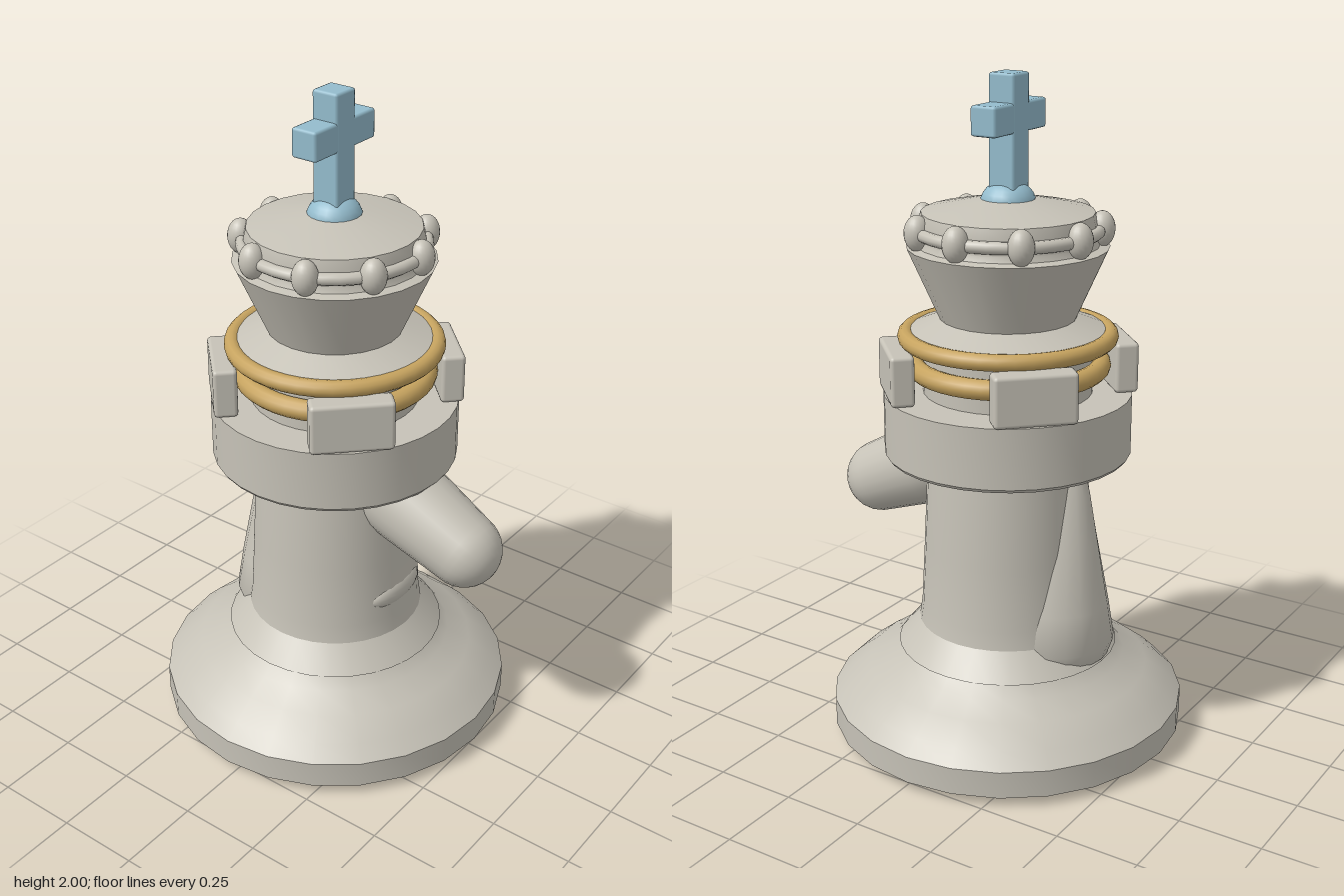
import * as THREE from 'three';
import { toCreasedNormals } from 'three/addons/utils/BufferGeometryUtils.js';
import { RoundedBoxGeometry } from 'three/addons/geometries/RoundedBoxGeometry.js';

const mat = (name, color) => {
  const m = new THREE.MeshStandardMaterial({ color });
  m.name = name;
  return m;
};

export function createModel() {
  const stone = mat('stone', 0xc6c2b7);
  const gold = mat('gold', 0xc6a35f);
  const blue = mat('blue', 0x94bccd);

  const model = new THREE.Group();
  model.name = 'chessKing';
  // Everything sits on one vertical axis, slightly behind the origin
  const piece = new THREE.Group();
  piece.name = 'piece';
  piece.position.z = -0.02;
  model.add(piece);

  const add = (name, geo, material, x = 0, y = 0, z = 0) => {
    const m = new THREE.Mesh(geo, material);
    m.name = name;
    m.position.set(x, y, z);
    piece.add(m);
    return m;
  };
  const lathe = (pts, sides = 24, crease = 0.5) => toCreasedNormals(
    new THREE.LatheGeometry(pts.map(p => new THREE.Vector2(...p)), sides), crease);
  const blob = (name, material, [x, y, z], [rx, ry, rz]) => {
    const m = add(name, new THREE.SphereGeometry(1, 20, 14), material, x, y, z);
    m.scale.set(rx, ry, rz);
    return m;
  };

  // Foot and collar
  add('base', lathe([[0, 0.03], [0.54, 0.03], [0.54, 0.112], [0.495, 0.155],
    [0.43, 0.205], [0.36, 0.243], [0.328, 0.278], [0, 0.278]]), stone);
  add('column', lathe([[0, 0.278], [0.335, 0.278], [0.27, 0.355], [0.262, 0.41],
    [0.252, 0.6], [0.243, 0.8], [0.238, 0.87]], 32), stone);
  blob('undersideBump', stone, [0, 0.03, -0.11], [0.11, 0.03, 0.11]);
  blob('frontBump', stone, [0, 0.475, 0.22], [0.12, 0.05, 0.046]);

  // Turret platform with a neck rising from it
  add('turret', lathe([[0.235, 0.855], [0.26, 0.858], [0.36, 0.89], [0.367, 0.9],
    [0.367, 1.08], [0.25, 1.08], [0.25, 1.24]], 32), stone);

  // Four blocks on the diagonals of the platform
  for (let i = 0; i < 4; i++) {
    const a = Math.PI / 4 + i * Math.PI / 2;
    const block = add('turretBlock', new RoundedBoxGeometry(0.24, 0.15, 0.07, 2, 0.012),
      stone, Math.sin(a) * 0.33, 1.155, Math.cos(a) * 0.33);
    block.rotation.y = a;
  }

  // Gold rings
  for (const [y, r, tube] of [[1.16, 0.272, 0.03], [1.248, 0.298, 0.025]]) {
    const ring = add('goldRing', new THREE.TorusGeometry(r, tube, 12, 40), gold, 0, y, 0);
    ring.rotation.x = Math.PI / 2;
  }

  // Flared crown with shoulder, recessed band and shallow lid
  add('crown', lathe([[0.25, 1.24], [0.3, 1.262], [0.2, 1.302], [0.293, 1.512],
    [0.265, 1.518], [0.258, 1.535], [0.258, 1.58], [0.25, 1.61],
    [0.08, 1.647], [0, 1.65]], 24, 0.45), stone);
  const band = add('crownBand', new THREE.TorusGeometry(0.262, 0.018, 10, 36), stone, 0, 1.56, 0);
  band.rotation.x = Math.PI / 2;
  for (let i = 0; i < 9; i++) {
    const a = i * Math.PI * 2 / 9;
    blob('crownBead', stone, [Math.cos(a) * 0.268, 1.562, -Math.sin(a) * 0.268],
      [0.038, 0.052, 0.038]);
  }

  // Finial cross
  blob('crossBall', blue, [0, 1.635, 0], [0.08, 0.065, 0.08]);
  add('crossPost', new RoundedBoxGeometry(0.085, 0.34, 0.085, 1, 0.008), blue, 0, 1.83, -0.002);
  add('crossBar', new RoundedBoxGeometry(0.27, 0.085, 0.083, 1, 0.008), blue, 0, 1.877, -0.002);

  // Tapered nose, round at the tip, sloping down to the front
  const nosePts = [[0.135, -0.32], [0.13, -0.2]];
  for (let i = 0; i <= 8; i++) {
    const t = i / 8 * Math.PI / 2;
    nosePts.push([0.112 * Math.cos(t), 0.112 * Math.sin(t)]);
  }
  const nose = add('nose', lathe(nosePts, 24, 0.8), stone, 0, 0.71, 0.472);
  nose.rotation.x = Math.PI / 2 + 0.43;

  // Ridge down the back, widening toward the collar: [y, half width, back depth]
  const rings = [[0.3, 0, -0.14], [0.285, 0.17, -0.335], [0.33, 0.19, -0.35],
    [0.45, 0.165, -0.333], [0.65, 0.11, -0.302], [0.8, 0.075, -0.278], [0.87, 0.06, -0.262]];
  const pos = [], idx = [], n = 12;
  rings.forEach(([y, w, back], r) => {
    for (let k = 0; k <= n; k++) {
      const t = k / n * Math.PI;
      pos.push(-w * Math.cos(t), y, -0.14 + (back + 0.14) * Math.sin(t));
      if (r && k) {
        const b = r * (n + 1) + k, a = b - 1, c = a - n - 1, d = b - n - 1;
        idx.push(c, a, d, d, a, b);
      }
    }
  });
  const ridge = new THREE.BufferGeometry();
  ridge.setAttribute('position', new THREE.Float32BufferAttribute(pos, 3));
  ridge.setIndex(idx);
  add('backRidge', toCreasedNormals(ridge, 0.7), stone);

  return model;
}
